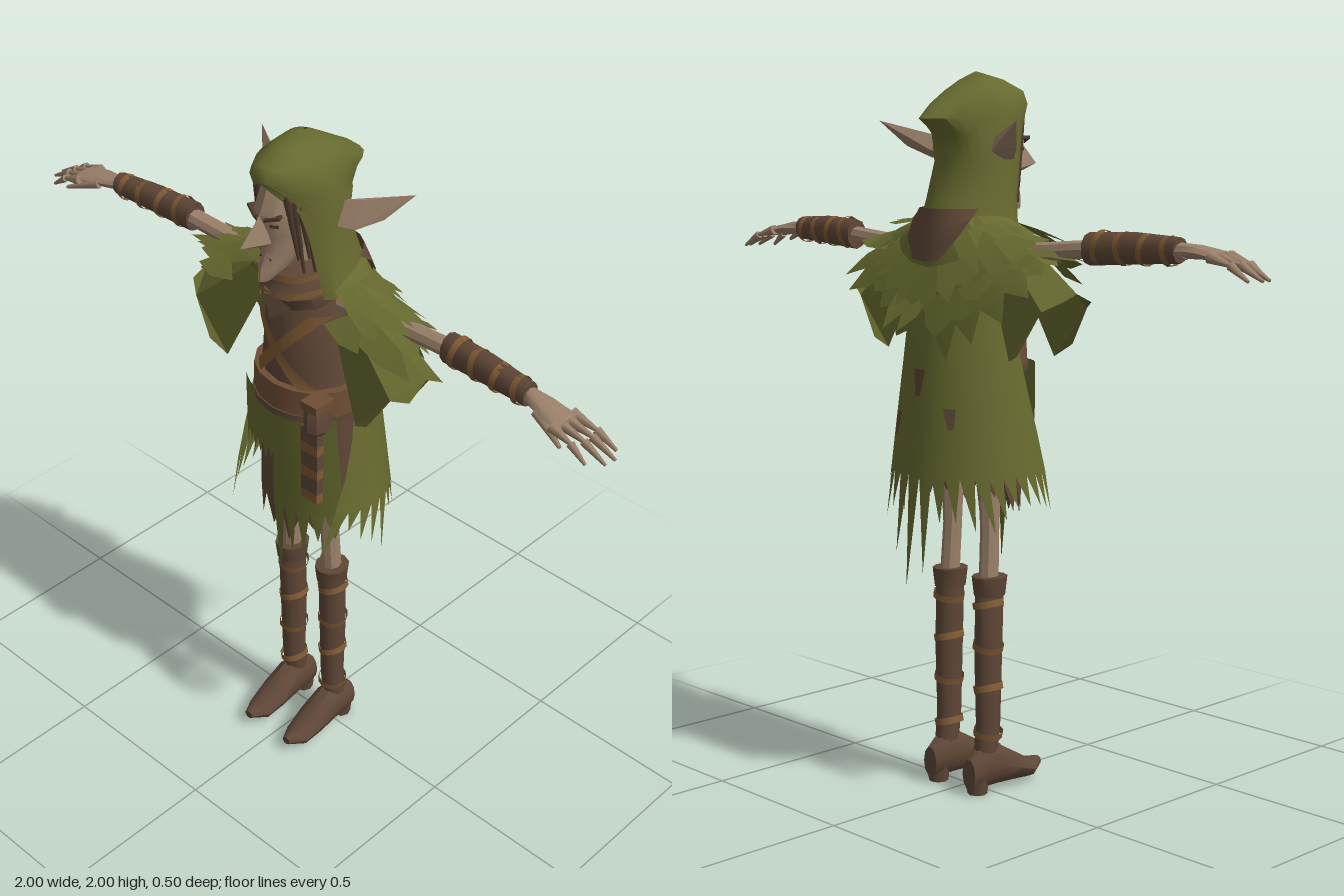
import * as THREE from 'three';
import { toCreasedNormals } from 'three/addons/utils/BufferGeometryUtils.js';
import { ConvexGeometry } from 'three/addons/geometries/ConvexGeometry.js';

const { sin, cos, PI, sqrt, max, abs, exp } = Math;
const lerp = THREE.MathUtils.lerp;
const paint = (name, color) => {
  const m = new THREE.MeshStandardMaterial({ color, side: THREE.DoubleSide });
  m.name = name;
  return m;
};
let seed = 7;
const rnd = () => (seed = (seed * 16807) % 2147483647) / 2147483647;

export function createModel() {
  const green = paint('moss cloth', 0x676a2f), brown = paint('brown leather', 0x5f4737), belt = paint('belt leather', 0x6f4e36);
  const strap = paint('tan strap', 0x815a34), skin = paint('skin', 0x9b816a), dark = paint('dark hair', 0x4e3a2d);
  const root = new THREE.Group();
  const add = (name, geo, mat, parent = root) => {
    const m = new THREE.Mesh(geo, mat);
    m.name = name;
    parent.add(m);
    return m;
  };

  // Surface over a (u, v) grid, with optional pointed tatters past v = 1
  const surf = (f, nu, nv, teeth, crease = 0.7) => {
    const p = [], tri = (...c) => c.forEach(([u, v]) => p.push(...f(u, v)));
    for (let j = 0; j < nv; j++) for (let i = 0; i < nu; i++) {
      const a = i / nu, b = (i + 1) / nu, c = j / nv, d = (j + 1) / nv;
      tri([a, c], [b, c], [b, d]);
      tri([a, c], [b, d], [a, d]);
    }
    if (teeth) for (let i = 0; i < nu; i++)
      tri([i / nu, 1], [(i + 0.4 + rnd() * 0.3) / nu, 1 + teeth((i + 0.5) / nu)], [(i + 1) / nu, 1]);
    const g = new THREE.BufferGeometry();
    g.setAttribute('position', new THREE.Float32BufferAttribute(p, 3));
    return toCreasedNormals(g, crease);
  };
  // Closed loft through elliptical rings [x, y, z, ra, rb], lying across the given axis
  const loft = (rings, n = 10, axis = 'y') => {
    const a = rings[0], b = rings[rings.length - 1];
    const r = [[...a.slice(0, 3), 1e-4, 1e-4], ...rings, [...b.slice(0, 3), 1e-4, 1e-4]];
    return surf((u, v) => {
      const [x, y, z, ra, rb] = r[Math.round(v * (r.length - 1))], t = u * 2 * PI, s = sin(t), k = cos(t);
      if (axis === 'x') return [x, y + ra * k, z + rb * s];
      if (axis === 'z') return [x + ra * k, y + rb * s, z];
      return [x + ra * s, y, z + rb * k];
    }, n, r.length - 1);
  };
  const hull = pts => new ConvexGeometry(pts.map(q => new THREE.Vector3(...q)));
  const cone = (name, from, to, r, mat, parent) => {
    const a = new THREE.Vector3(...from), d = new THREE.Vector3(...to).sub(a);
    const m = add(name, new THREE.CylinderGeometry(r * 0.35, r, d.length(), 6), mat, parent);
    m.position.copy(a).addScaledVector(d, 0.5);
    m.quaternion.setFromUnitVectors(new THREE.Vector3(0, 1, 0), d.normalize());
  };
  // Flat wrapped band: radii across x and z, height h
  const band = (name, rx, rz, h, pos, rot, parent) => {
    const m = add(name, new THREE.CylinderGeometry(1, 1, h, 14, 1, true).scale(rx, 1, rz), strap, parent);
    m.position.set(...pos);
    m.rotation.set(...rot);
  };

  // Torso, belt and ragged under-tunic
  add('torso', loft([[0, 1.18, 0.01, 0.155, 0.13], [0, 1.33, 0.01, 0.135, 0.122], [0, 1.5, 0.01, 0.12, 0.115], [0, 1.61, 0, 0.085, 0.08]], 14), brown);
  add('belt', loft([[0, 1.205, 0.01, 0.165, 0.145], [0, 1.29, 0.01, 0.163, 0.143]], 16), belt);
  add('beltEdge', loft([[0, 1.195, 0.01, 0.169, 0.149], [0, 1.215, 0.01, 0.169, 0.149]], 16), brown);
  add('underTunic', surf((u, v) => {
    const k = cos(u * 2 * PI);
    return [sin(u * 2 * PI) * (0.15 + 0.01 * v), 1.22 - (0.32 + 0.04 * k) * v, 0.005 + k * (0.12 + 0.005 * v)];
  }, 14, 2, () => 0.1 + rnd() * 0.2), brown);
  const panel = (x0, x1, drop) => (u, v) => {
    const x = lerp(x0, x1, u) * (1 + 0.1 * v), k = x / 0.21;
    return [x, 1.22 - drop * v, 0.01 + 0.135 * sqrt(max(0, 1 - k * k))];
  };
  add('longTunicPanel', surf(panel(-0.012, 0.17, 0.33), 5, 2, u => u < 0.12 ? 0.78 : 0.55 - 0.4 * u + rnd() * 0.1), green);
  add('shortTunicPanel', surf(panel(-0.17, -0.005, 0.16), 7, 2, u => 0.1 + rnd() * 0.2 + (1 - u) * 0.2), green);

  // Crossed chest straps wrapped on the torso
  for (const s of [-1, 1]) add('chestStrap', surf((u, v) => {
    const x = s * lerp(-0.11, 0.1, v) + (u - 0.5) * 0.042, k = x / 0.14;
    return [x, lerp(1.52, 1.28, v), 0.012 + (0.122 + 0.01 * v) * sqrt(1 - k * k) + 0.005];
  }, 2, 8), strap);

  // Belt pouch and banded hanging strip
  add('pouch', loft([[0.135, 1.185, 0.125, 0.02, 0.025], [0.135, 1.2, 0.125, 0.034, 0.04], [0.135, 1.25, 0.125, 0.034, 0.04], [0.135, 1.29, 0.12, 0.025, 0.03]], 8), brown);
  add('pouchFlap', new THREE.BoxGeometry(0.058, 0.025, 0.07), belt).position.set(0.135, 1.278, 0.125);
  for (let i = 0; i < 6; i++)
    add('hangingStripBand', new THREE.BoxGeometry(0.06, i % 2 ? 0.03 : 0.05, 0.025), i % 2 ? strap : brown).position.set(0.12, 1.17 - i * 0.04, 0.13);

  // Cape, open at the front, with a tattered hem longest at the back
  const cape = (u, v) => {
    const a = (u * 2 - 1) * (1.55 + 0.6 * v * v);
    return [sin(a) * (0.13 + 0.095 * v), 1.58 - 0.66 * v, -cos(a) * (0.145 + 0.06 * v)];
  };
  add('cape', surf(cape, 23, 6, u => 0.06 + rnd() * 0.18 + 0.28 * exp(-(((u - 0.5) / 0.06) ** 2)), 0.7), green);
  [[0.5, 0.62, 0.065], [0.62, 0.8, 0.055], [0.36, 0.76, 0.05]].forEach(([cu, cv, r]) => {
    add('capeTear', surf((u, v) => {
      const p = cape(cu + (u - 0.5) * r * (1 - v * 0.6), cv + (v - 0.5) * r * 1.7);
      return [p[0] * 1.02, p[1], p[2] * 1.025];
    }, 1, 1), brown);
  });

  // Shoulder mantle with layered leafy scraps
  const mantle = (a, t, lift = 0) => {
    const s = sin(a);
    return [s * (0.1 + 0.24 * t + lift), 1.63 - t * (0.32 - 0.2 * s * s) + lift * 0.6, -0.01 - cos(a) * (0.125 + 0.04 * t + lift)];
  };
  add('mantle', surf((u, v) => mantle((u * 2 - 1) * 2.1, v), 17, 4, () => 0.1 + rnd() * 0.2, 0.3), green);
  for (let row = 0; row < 3; row++) for (let i = 0; i < 10; i++) {
    const a = (i + 0.5 * (row % 2) - 4.75) * 0.43 + (rnd() - 0.5) * 0.14, t = 0.22 + row * 0.25;
    if (abs(a) < 0.6 && row < 1) continue;
    const w = 0.22 + rnd() * 0.14, len = 0.16 + rnd() * 0.16, lift = 0.01 + rnd() * 0.025, tip = 0.5 + rnd() * 0.8;
    add('mantleScrap', surf((u, v) => mantle(a + (u - 0.5) * 2 * w * (1 - v * 0.25), t + len * v, 0.004 + lift * v),
      2, 1, () => tip * (0.3 + rnd() * 0.6), 0.2), green);
  }
  add('neckPatch', surf((u, v) => mantle((u - 0.5) * 2.4 * (1 - 0.8 * v), 0.44 * v, 0.012), 8, 3), brown);

  // Hood: rings [y, half width, back z, front z, half sweep, back sharpness]
  const H = [[1.57, 0.14, -0.15, 0.08, 2.2, 1], [1.66, 0.12, -0.12, 0.09, 2.2, 1], [1.76, 0.113, -0.085, 0.11, 2.25, 1],
    [1.83, 0.11, -0.1, 0.13, 2.4, 1], [1.875, 0.106, -0.17, 0.17, 2.75, 2], [1.915, 0.1, -0.12, 0.2, PI, 1.3],
    [1.95, 0.083, -0.06, 0.19, PI, 1], [1.98, 0.05, -0.01, 0.12, PI, 1], [2, 0.004, 0.025, 0.035, PI, 1]];
  add('hood', surf((u, v) => {
    const [y, rx, zb, zf, A, e] = H[Math.round(v * 8)], a = (u * 2 - 1) * A, k = cos(a), m = 0.03;
    return [rx * sin(a), y, k > 0 ? m - (m - zb) * k ** e : m + (zf - m) * k / cos(A)];
  }, 24, 8, null, 0.9), green);

  // Scarf with trims
  add('neck', loft([[0, 1.55, 0.03, 0.05, 0.05], [0, 1.72, 0.06, 0.045, 0.05]], 8), skin);
  add('scarf', loft([[0, 1.53, 0.03, 0.1, 0.11], [0, 1.57, 0.04, 0.105, 0.125], [0, 1.6, 0.04, 0.09, 0.11], [0, 1.63, 0.04, 0.085, 0.11], [0, 1.65, 0.04, 0.07, 0.09]], 12), brown);
  add('scarfPoint', hull([[-0.09, 1.575, 0.1], [0.09, 1.575, 0.1], [0, 1.585, 0.18], [0, 1.5, 0.165], [0, 1.55, 0.1]]), brown);
  band('scarfTrim', 0.108, 0.13, 0.018, [0, 1.585, 0.04], [0.04, 0, 0.05]);
  band('scarfTrim', 0.09, 0.115, 0.018, [0, 1.63, 0.04], [0.04, 0, -0.04]);

  // Gaunt face with a sharp nose and chin
  add('head', loft([[0, 1.628, 0.172, 0.014, 0.025], [0, 1.66, 0.135, 0.034, 0.058], [0, 1.705, 0.11, 0.05, 0.065], [0, 1.76, 0.1, 0.066, 0.08], [0, 1.82, 0.09, 0.07, 0.105], [0, 1.9, 0.07, 0.06, 0.09]], 12), skin);
  add('nose', hull([[0, 1.825, 0.19], [0, 1.752, 0.263], [-0.02, 1.735, 0.165], [0.02, 1.735, 0.165], [0, 1.72, 0.17], [0, 1.8, 0.16]]), skin);
  add('mouth', new THREE.BoxGeometry(0.04, 0.005, 0.008), dark).position.set(0, 1.69, 0.172);
  for (const s of [-1, 1]) {
    const brow = add('brow', new THREE.BoxGeometry(0.045, 0.008, 0.02), dark);
    brow.position.set(s * 0.033, 1.818, 0.18);
    brow.rotation.set(0, s * 0.4, s * 0.3);
    const eye = add('eye', new THREE.BoxGeometry(0.022, 0.009, 0.009), dark);
    eye.position.set(s * 0.031, 1.793, 0.173);
    eye.rotation.y = s * 0.45;
  }

  // Everything that repeats left and right
  for (const s of [1, -1]) {
    const side = new THREE.Group();
    side.name = s > 0 ? 'leftSide' : 'rightSide';
    side.scale.x = s;
    root.add(side);

    for (let i = 0; i < 4; i++)
      cone('hairStrand', [0.05 + i * 0.009, 1.88 - i * 0.01, 0.15 - i * 0.015], [0.068 + i * 0.008, 1.69 - (i % 2) * 0.04, 0.125 - i * 0.012], 0.012, dark, side);
    add('ear', hull([[0.27, 1.87, -0.085], [0.1, 1.825, 0], [0.1, 1.765, 0.035], [0.16, 1.768, 0.015], [0.215, 1.8, -0.03], [0.12, 1.79, -0.03], [0.15, 1.835, -0.02]]), skin, side);

    // Drooping open-bottomed sleeve with angular panels
    add('sleeve', surf((u, v) => {
      const t = (u * 2 - 1) * 2.1, r = lerp(0.07, 0.125, v), k = r * cos(t) * 0.71, d = abs(t) > 1.5 ? 0.05 * v : 0;
      return [lerp(0.15, 0.315, v) + k - d * 0.6, lerp(1.52, 1.335, v) + k - d, 0.005 + sin(t) * lerp(0.06, 0.1, v)];
    }, 4, 2, () => 0.04 + rnd() * 0.08, 0.2), green, side);

    // Arm, bracer and hand
    add('arm', loft([[0.1, 1.53, 0, 0.03, 0.03], [0.3, 1.53, -0.015, 0.025, 0.026], [0.48, 1.545, -0.005, 0.024, 0.026], [0.76, 1.55, 0.02, 0.02, 0.024]], 8, 'x'), skin, side);
    add('bracer', loft([[0.46, 1.545, -0.008, 0.043, 0.036], [0.6, 1.552, 0.005, 0.041, 0.034], [0.74, 1.552, 0.018, 0.033, 0.029]], 10, 'x'), brown, side);
    [0.5, 0.57, 0.64, 0.71].forEach((x, i) =>
      band('bracerBand', 0.046 - i * 0.0025, 0.041 - i * 0.002, 0.018, [x, 1.549, -0.003 + i * 0.006], [0, 0, PI / 2 + (i % 2 ? 0.15 : -0.15)], side));
    add('palm', loft([[0.74, 1.552, 0.02, 0.02, 0.022], [0.8, 1.55, 0.03, 0.018, 0.038], [0.87, 1.54, 0.035, 0.014, 0.045]], 8, 'x'), skin, side);
    for (let i = 0; i < 4; i++) {
      const z = i * 0.026 - 0.004, zt = i * 0.032 - 0.016, tip = [0.98, 1, 0.995, 0.96][i];
      const knuckle = [lerp(0.86, tip, 0.5), 1.525, lerp(z, zt, 0.5)];
      cone('finger', [0.85, 1.542, z], knuckle, 0.016, skin, side);
      cone('fingerTip', knuckle, [tip, 1.49, zt], 0.012, skin, side);
    }
    cone('thumb', [0.79, 1.545, 0.055], [0.89, 1.51, 0.09], 0.015, skin, side);

    // Leg and boot
    add('leg', loft([[0.08, 0.55, 0, 0.026, 0.03], [0.075, 0.75, 0.01, 0.025, 0.028], [0.075, 1.15, 0.01, 0.04, 0.045]], 8), skin, side);
    add('bootShaft', loft([[0.08, 0.1, -0.01, 0.032, 0.036], [0.08, 0.2, 0, 0.033, 0.036], [0.08, 0.4, 0, 0.037, 0.041], [0.08, 0.58, 0.005, 0.037, 0.042]], 10), brown, side);
    add('bootCuff', loft([[0.08, 0.565, 0.005, 0.041, 0.046], [0.08, 0.62, 0.005, 0.048, 0.052]], 10), brown, side);
    add('foot', loft([[0.08, 0.06, -0.075, 0.026, 0.045], [0.08, 0.075, -0.03, 0.042, 0.06], [0.08, 0.077, 0.02, 0.046, 0.062], [0.08, 0.055, 0.09, 0.048, 0.043], [0.08, 0.035, 0.15, 0.042, 0.028], [0.08, 0.042, 0.2, 0.014, 0.013]], 10, 'z'), brown, side);
    add('heel', new THREE.CylinderGeometry(0.034, 0.028, 0.06, 8), brown, side).position.set(0.08, 0.03, -0.042);
    [0.17, 0.3, 0.42, 0.54].forEach((y, i) =>
      band('bootBand', 0.039 + i * 0.001, 0.044 + i * 0.001, 0.019, [0.08, y, 0], [0, 0, i % 2 ? 0.25 : -0.25], side));
  }
  return root;
}
